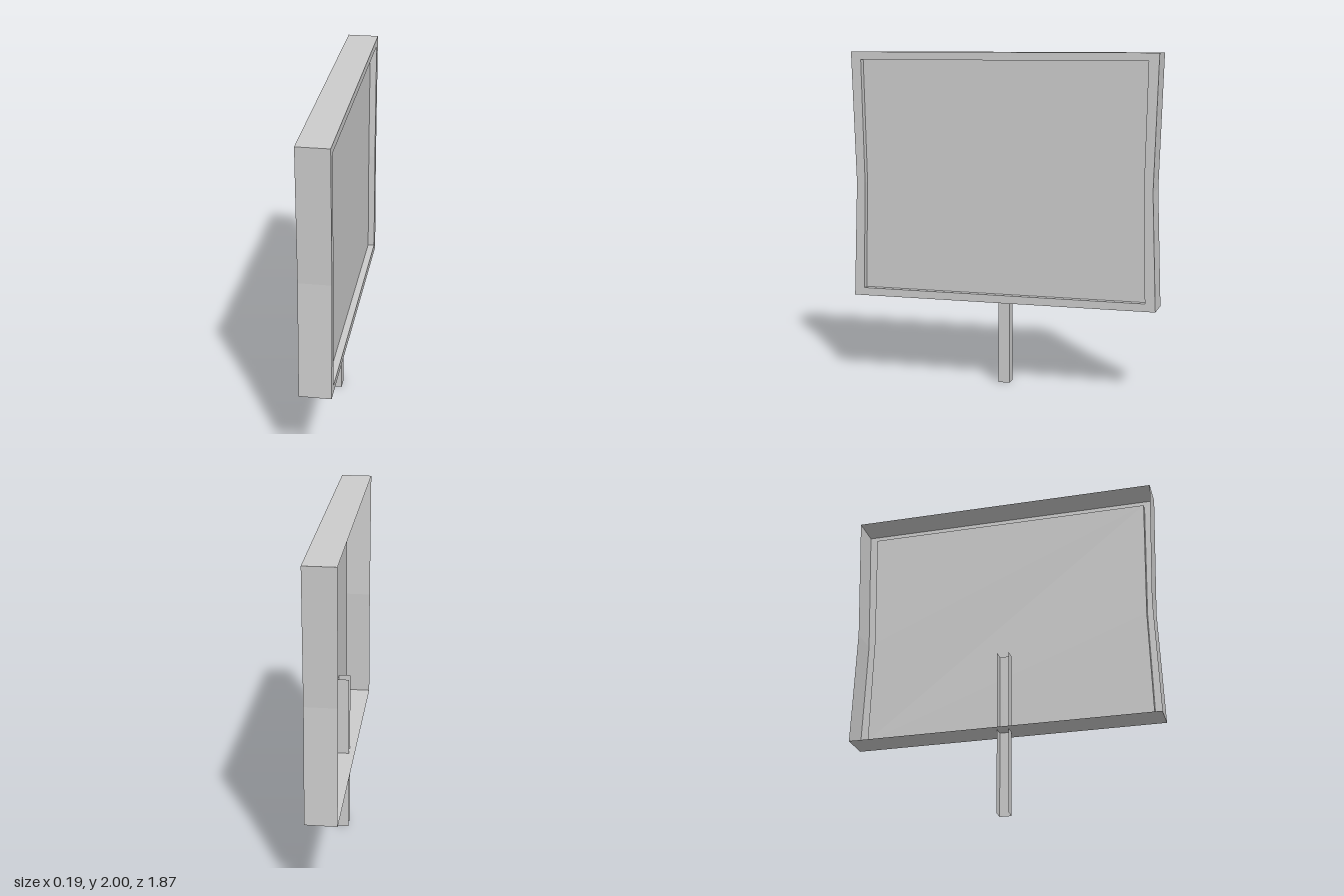
import * as THREE from 'three';

const material = new THREE.MeshStandardMaterial({
  color: 0xcccccc, flatShading: true, side: THREE.DoubleSide,
});

// Outline with slightly pinched sides, counter-clockwise
function outline(halfWidth, halfWaist, bottom, top, waistY = 1.21) {
  return [
    [-halfWidth, bottom], [halfWidth, bottom], [halfWaist, waistY],
    [halfWidth, top], [-halfWidth, top], [-halfWaist, waistY],
  ].map(([x, y]) => new THREE.Vector2(x, y));
}

// Thin sheet: a path swept straight along z
function sheet(path, z0, z1, closed) {
  const positions = [];
  const count = closed ? path.length : path.length - 1;
  for (let i = 0; i < count; i++) {
    const a = path[i], b = path[(i + 1) % path.length];
    positions.push(a.x, a.y, z0, b.x, b.y, z0, b.x, b.y, z1);
    positions.push(a.x, a.y, z0, b.x, b.y, z1, a.x, a.y, z1);
  }
  const geometry = new THREE.BufferGeometry();
  geometry.setAttribute('position', new THREE.Float32BufferAttribute(positions, 3));
  geometry.computeVertexNormals();
  return geometry;
}

function addMesh(parent, name, geometry) {
  const mesh = new THREE.Mesh(geometry, material);
  mesh.name = name;
  parent.add(mesh);
}

export function createModel() {
  const model = new THREE.Group();
  model.name = 'signOnPost';

  const half = 0.093;            // half the depth of the sign box
  const panelZ = half - 0.04;    // recessed panel
  const outer = outline(0.935, 0.91, 0.51, 2);
  const inner = outline(0.873, 0.857, 0.557, 1.953);

  // Sign box, open at the back, turned to face +x
  const sign = new THREE.Group();
  sign.name = 'sign';
  sign.rotation.y = Math.PI / 2;
  model.add(sign);

  addMesh(sign, 'frameWalls', sheet(outer, -half, half, true));

  const rim = new THREE.Shape(outer);
  rim.holes.push(new THREE.Path(inner));
  addMesh(sign, 'frontRim', new THREE.ShapeGeometry(rim).translate(0, 0, half));

  addMesh(sign, 'recessWalls', sheet([...inner].reverse(), panelZ, half, true));
  addMesh(sign, 'panel', new THREE.ShapeGeometry(new THREE.Shape(inner)).translate(0, 0, panelZ));

  // U-channel post, open towards the back of the sign
  const channel = [[-0.058, -0.035], [0.011, -0.035], [0.011, 0.035], [-0.058, 0.035]]
    .map(([x, y]) => new THREE.Vector2(x, y));
  addMesh(model, 'post', sheet(channel, 0, 1, false).rotateX(-Math.PI / 2));

  return model;
}
